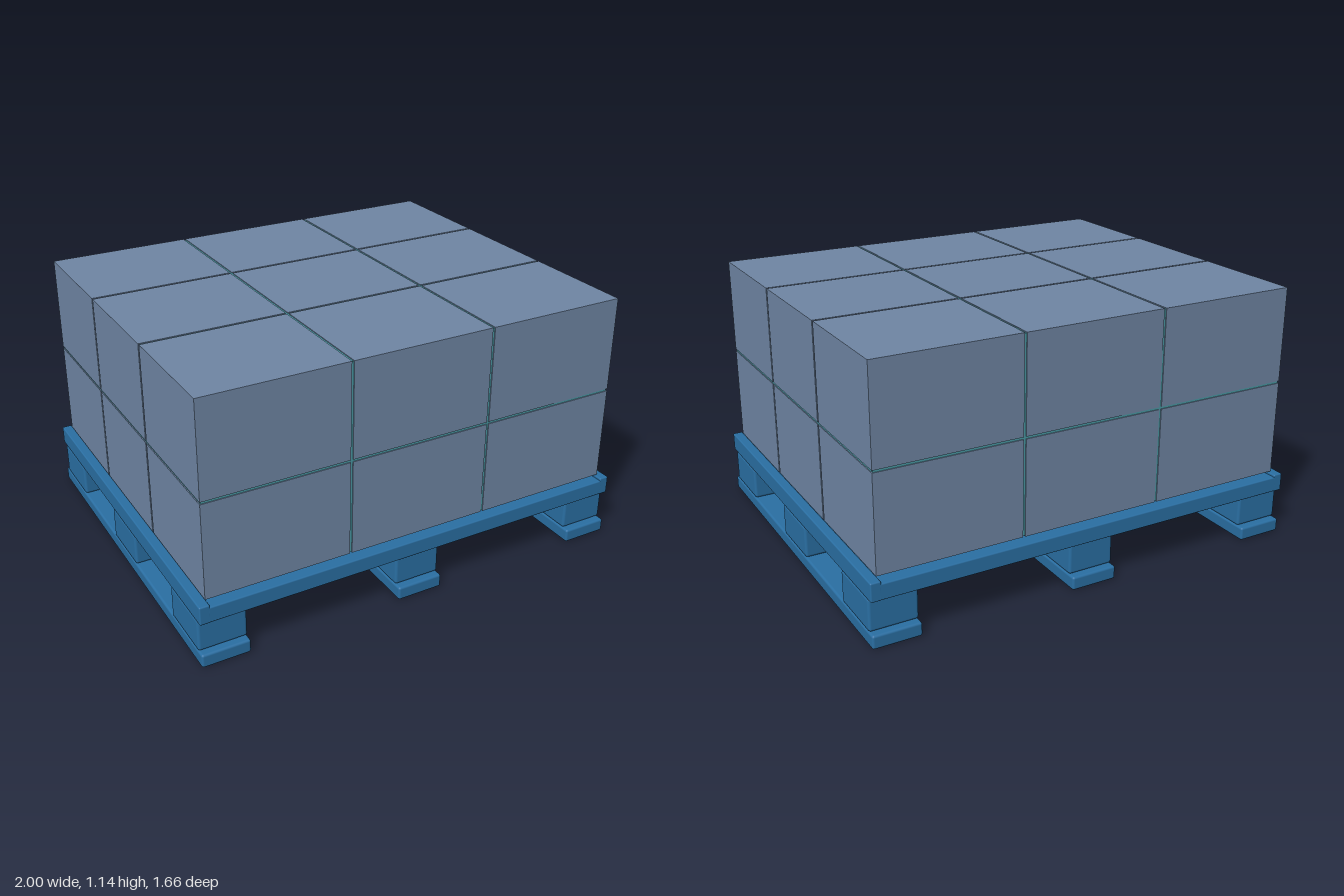
import * as THREE from 'three';
import { RoundedBoxGeometry } from 'three/addons/geometries/RoundedBoxGeometry.js';

export function createModel() {
  const model = new THREE.Group();
  const wood = new THREE.MeshStandardMaterial({ color: 0x2a6fa3 });
  const carton = new THREE.MeshStandardMaterial({ color: 0x6f86a4 });
  const seam = new THREE.MeshStandardMaterial({ color: 0x4a9aa5 });

  const add = (parent, name, geometry, material, x, y, z) => {
    const mesh = new THREE.Mesh(geometry, material);
    mesh.name = name;
    mesh.position.set(x, y, z);
    parent.add(mesh);
  };

  const pallet = new THREE.Group();
  pallet.name = 'pallet';
  model.add(pallet);

  // Three bottom runners, each carrying three spacer blocks
  const runner = new RoundedBoxGeometry(0.21, 0.06, 1.66, 2, 0.01);
  const block = new RoundedBoxGeometry(0.21, 0.145, 0.265, 2, 0.012);
  for (const x of [-0.895, 0, 0.895]) {
    add(pallet, 'runner', runner, wood, x, 0.03, 0);
    for (const z of [-0.667, 0, 0.667]) {
      add(pallet, 'spacerBlock', block, wood, x, 0.1325, z);
    }
  }

  // Side rails of the deck, slightly higher than the slats
  const rail = new RoundedBoxGeometry(0.045, 0.082, 1.66, 2, 0.006);
  for (const side of [-1, 1]) {
    add(pallet, 'sideRail', rail, wood, side * 0.9775, 0.244, 0);
  }

  // Deck slats running across, with narrow gaps
  const slatCount = 9, slatWidth = 0.14;
  const slat = new RoundedBoxGeometry(1.93, 0.07, slatWidth, 2, 0.006);
  const step = (1.66 - slatWidth) / (slatCount - 1);
  for (let i = 0; i < slatCount; i++) {
    add(pallet, 'deckSlat', slat, wood, 0, 0.239, -0.83 + slatWidth / 2 + i * step);
  }

  // Stacked cartons, 3 x 2 x 3
  const load = new THREE.Group();
  load.name = 'load';
  model.add(load);
  const px = 0.644, py = 0.43, pz = 0.535, gap = 0.01;
  const box = new THREE.BoxGeometry(px - gap, py - gap, pz - gap);
  for (let i = -1; i <= 1; i++) {
    for (let j = 0; j < 2; j++) {
      for (let k = -1; k <= 1; k++) {
        add(load, 'carton', box, carton, i * px, 0.286 + (j + 0.5) * py, k * pz);
      }
    }
  }

  // Lining seen in the seams between cartons
  const lining = new THREE.BoxGeometry(3 * px - 0.018, 2 * py - 0.018, 3 * pz - 0.018);
  add(load, 'seamLining', lining, seam, 0, 0.286 + py, 0);

  return model;
}
